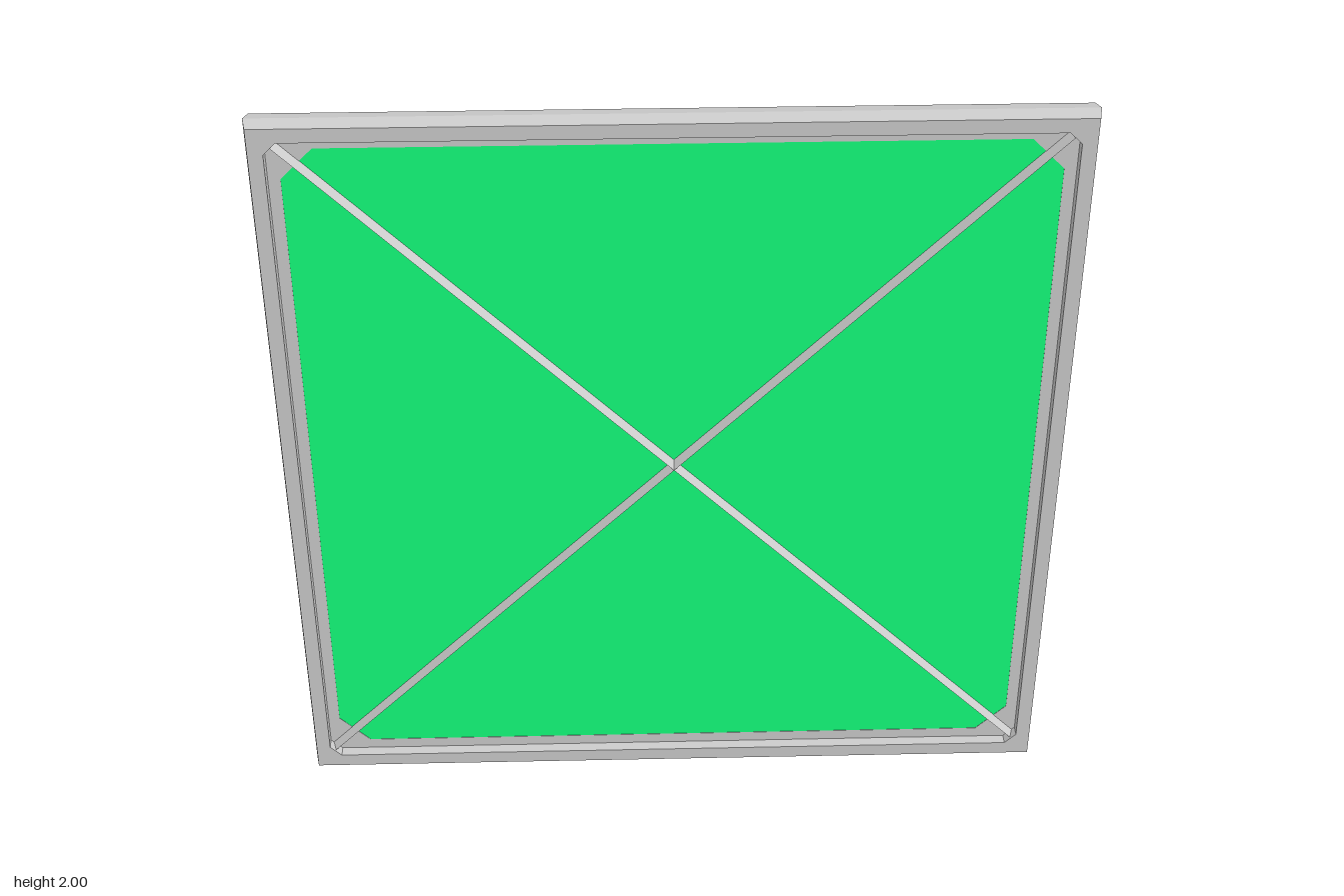
import * as THREE from 'three';

const grey = new THREE.MeshStandardMaterial({ color: 0xcccccc, flatShading: true });

// Square of half-width h with corners cut by c, counter-clockwise
function octagon(h, c) {
  const k = h - c;
  return [[h, -k], [h, k], [k, h], [-k, h], [-h, k], [-h, -k], [-k, -h], [k, -h]];
}

// Closed sweep of the frame profile: each entry is [half-width, corner cut, z]
function frameGeometry(profile) {
  const pos = [];
  const rings = profile.map(([h, c, z]) => octagon(h, c).map(([x, y]) => new THREE.Vector3(x, y, z)));
  const tri = (a, b, c) => {
    if (new THREE.Triangle(a, b, c).getArea() > 1e-9) {
      pos.push(...a.toArray(), ...b.toArray(), ...c.toArray());
    }
  };
  rings.forEach((ring, k) => {
    const next = rings[(k + 1) % rings.length];
    for (let i = 0; i < 8; i++) {
      const j = (i + 1) % 8;
      tri(ring[i], ring[j], next[i]);
      tri(ring[j], next[j], next[i]);
    }
  });
  const geo = new THREE.BufferGeometry();
  geo.setAttribute('position', new THREE.Float32BufferAttribute(pos, 3));
  geo.computeVertexNormals();
  return geo;
}

export function createModel() {
  const group = new THREE.Group();
  const add = (name, geo, mat) => {
    const mesh = new THREE.Mesh(geo, mat);
    mesh.name = name;
    mesh.position.y = 1;
    group.add(mesh);
    return mesh;
  };

  // Square frame with ridged outer edge and a recessed inner lip
  add('frame', frameGeometry([
    [1, 0, 0], [0.992, 0, 0.04], [0.955, 0.03, 0.04], [0.955, 0.03, 0.01], [0.925, 0.08, 0.01],
    [0.925, 0.08, -0.01], [0.955, 0.03, -0.01], [0.955, 0.03, -0.04], [0.992, 0, -0.04],
  ]), grey);

  // Two-sided panel: green front, red back
  const outline = new THREE.Shape(octagon(0.925, 0.08).map(([x, y]) => new THREE.Vector2(x, y)));
  const panel = (name, color, z) => {
    const mesh = add(name, new THREE.ShapeGeometry(outline), new THREE.MeshStandardMaterial({ color }));
    mesh.position.z = z;
    return mesh;
  };
  panel('frontPanel', 0x14ff7c, 0.009);
  panel('backPanel', 0xff1414, -0.009).rotation.y = Math.PI;

  // Diagonal braces: triangular bars, ridge to the front and flat base to the back
  const length = 2.66;
  const section = new THREE.Shape([[-0.025, 0.025], [0, -0.035], [0.025, 0.025]].map(([x, y]) => new THREE.Vector2(x, y)));
  const bar = new THREE.ExtrudeGeometry(section, { depth: length, bevelEnabled: false });
  bar.translate(0, 0, -length / 2).rotateX(-Math.PI / 2);
  for (const side of [-1, 1]) {
    add(side < 0 ? 'risingBrace' : 'fallingBrace', bar, grey).rotation.z = side * Math.PI / 4;
  }
  return group;
}
